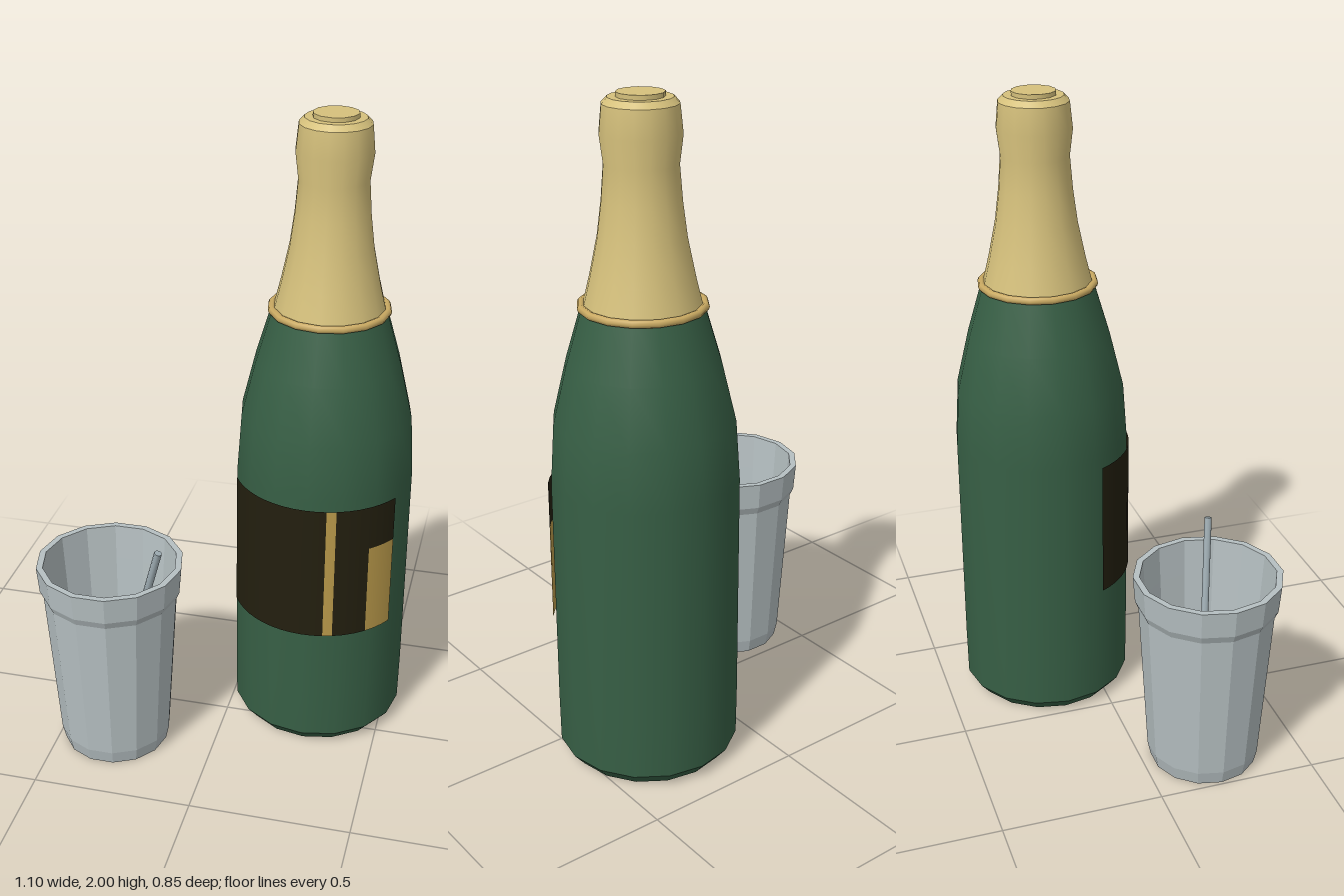
import * as THREE from 'three';

const mat = (name, color, extra = {}) => {
  const m = new THREE.MeshStandardMaterial({ color, ...extra });
  m.name = name;
  return m;
};

export function createModel() {
  const green = mat('green glass', 0x375f45);
  const foilGold = mat('foil gold', 0xd6c17c);
  const ringGold = mat('ring gold', 0xcaaa62);
  const labelBlack = mat('label black', 0x231f0f, { side: THREE.DoubleSide });
  const labelGold = mat('label gold', 0xb9994a, { side: THREE.DoubleSide });
  const cupGrey = mat('cup grey', 0xb6c0c2, { flatShading: true });
  const drinkBrown = mat('drink brown', 0x9f6a40);
  const strawGrey = mat('straw grey', 0x9dabb1);

  const add = (parent, name, geometry, material) => {
    const mesh = new THREE.Mesh(geometry, material);
    mesh.name = name;
    parent.add(mesh);
    return mesh;
  };
  const lathe = (points, sides, start = 0) =>
    new THREE.LatheGeometry(points.map(([r, y]) => new THREE.Vector2(r, y)), sides, start);

  const model = new THREE.Group();
  model.name = 'bottleAndCup';

  // Bottle: separate profiles keep the hard edges crisp
  const bottle = new THREE.Group();
  bottle.name = 'bottle';
  bottle.position.set(0.275, 0, -0.15);
  model.add(bottle);
  add(bottle, 'bottleBase', lathe([[0, 0], [0.24, 0]], 16), green);
  add(bottle, 'bottleChamfer', lathe([[0.24, 0], [0.273, 0.04]], 16), green);
  add(bottle, 'bottleBody', lathe([
    [0.273, 0.04], [0.275, 0.2], [0.275, 0.9], [0.263, 1.08], [0.222, 1.25], [0.172, 1.42],
  ], 16), green);

  // Foil around the neck
  add(bottle, 'foilNeck', lathe([
    [0.17, 1.41], [0.148, 1.5], [0.125, 1.61], [0.112, 1.71], [0.104, 1.81],
    [0.114, 1.89], [0.106, 1.97],
  ], 16), foilGold);
  add(bottle, 'foilShoulder', lathe([[0.106, 1.97], [0.09, 1.987]], 16), foilGold);
  add(bottle, 'foilTop', lathe([[0.09, 1.987], [0, 1.987]], 16), foilGold);
  const cork = add(bottle, 'corkCap', new THREE.CylinderGeometry(0.067, 0.067, 0.02, 12), foilGold);
  cork.position.y = 1.99;
  const ring = add(bottle, 'foilRing', new THREE.TorusGeometry(0.174, 0.012, 8, 16), ringGold);
  ring.rotation.x = Math.PI / 2;
  ring.position.y = 1.415;

  // Curved label pieces: start angle, end angle (degrees from the front), bottom, top
  const label = new THREE.Group();
  label.name = 'label';
  bottle.add(label);
  const plate = (name, a, b, y0, y1, material) => {
    const rad = Math.PI / 180;
    const geometry = new THREE.CylinderGeometry(
      0.281, 0.281, y1 - y0, Math.max(1, Math.round((b - a) / 7)), 1, true, a * rad, (b - a) * rad);
    add(label, name, geometry, material).position.y = (y0 + y1) / 2;
  };
  plate('labelMain', -63, 11.9, 0.43, 0.875, labelBlack);
  plate('labelStripe', 11.9, 18, 0.43, 0.875, labelGold);
  plate('labelSide', 18, 40.3, 0.43, 0.875, labelBlack);
  plate('labelCorner', 40.3, 60.5, 0.73, 0.875, labelBlack);
  plate('labelPanel', 40.3, 60.5, 0.43, 0.73, labelGold);

  // Cup with thin walls and a raised rim band
  const cup = new THREE.Group();
  cup.name = 'cup';
  cup.position.set(-0.325, 0, 0.2);
  model.add(cup);
  add(cup, 'cupShell', lathe([
    [0, 0], [0.167, 0], [0.177, 0.045], [0.21, 0.545], [0.221, 0.57], [0.228, 0.655],
    [0.208, 0.655], [0.2, 0.54], [0.168, 0.05], [0, 0.03],
  ], 14, Math.PI / 2), cupGrey);
  const drink = add(cup, 'drink', new THREE.CircleGeometry(0.188, 14), drinkBrown);
  drink.rotation.x = -Math.PI / 2;
  drink.position.y = 0.355;

  // Leaning straw
  const low = new THREE.Vector3(0.02, 0.2, 0.0);
  const high = new THREE.Vector3(0.175, 0.745, 0.064);
  const axis = high.clone().sub(low);
  const straw = add(cup, 'straw', new THREE.CylinderGeometry(0.012, 0.012, axis.length(), 8), strawGrey);
  straw.position.copy(low).add(high).multiplyScalar(0.5);
  straw.quaternion.setFromUnitVectors(new THREE.Vector3(0, 1, 0), axis.normalize());

  return model;
}
